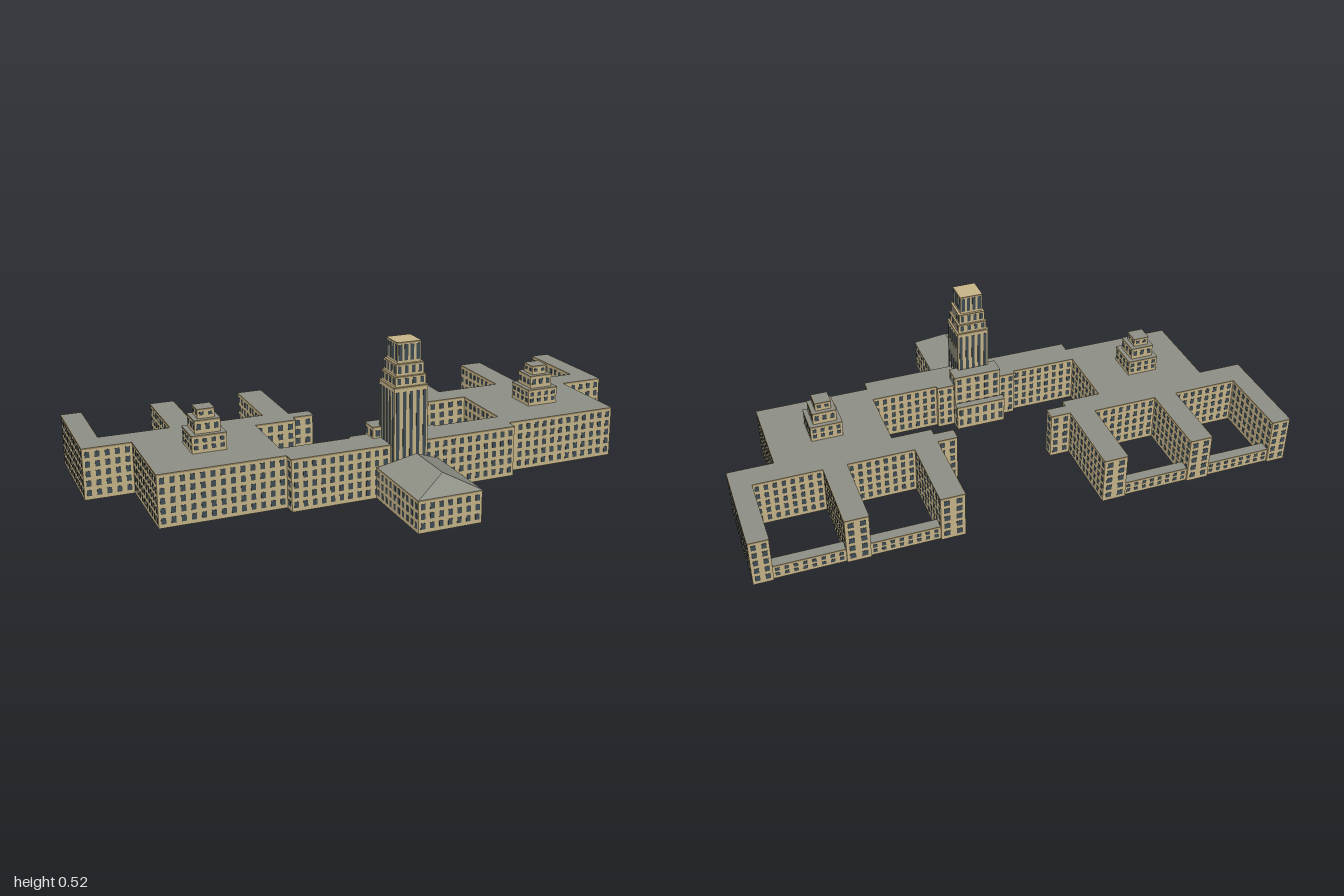
import * as THREE from 'three';
import { mergeGeometries } from 'three/addons/utils/BufferGeometryUtils.js';

const mat = (color) => new THREE.MeshStandardMaterial({ color, side: THREE.DoubleSide });

export function createModel() {
  const stone = mat(0xc9b68a), glass = mat(0x3f4d55), slate = mat(0x8f9086), trim = mat(0x9a8a66);
  const model = new THREE.Group();
  model.name = 'buildingComplex';
  const site = new THREE.Group();
  site.name = 'site';
  // the long axis is turned away from the z axis
  site.rotation.y = THREE.MathUtils.degToRad(-20.75);
  site.position.set(-0.0205, 0, 0.054);
  model.add(site);

  const rect = (x0, x1, z0, z1) => [[x1, z0], [x1, z1], [x0, z1], [x0, z0]];
  const square = (x, z, s) => rect(x - s / 2, x + s / 2, z - s / 2, z + s / 2);

  // Walls with a window grid around a closed outline, open below, with an optional flat roof
  function block(name, pts, y0, y1, { rows = 5, pitch = 0.031, fill = 0.62, wide = 0.48, roof = slate } = {}) {
    const group = new THREE.Group();
    group.name = name;
    const walls = [], panes = [], caps = [];
    const h = y1 - y0;
    pts.forEach(([ax, az], i) => {
      const [bx, bz] = pts[(i + 1) % pts.length];
      const len = Math.hypot(bx - ax, bz - az);
      const turn = Math.atan2(bz - az, ax - bx);
      const put = (g) => g.rotateY(turn).translate((ax + bx) / 2, 0, (az + bz) / 2);
      walls.push(put(new THREE.PlaneGeometry(len, h).translate(0, y0 + h / 2, 0)));
      caps.push(put(new THREE.BoxGeometry(len, 0.005, 0.003).translate(0, y1 - 0.0025, 0)));
      const cols = Math.floor(len / pitch + 0.15);
      const step = len / Math.max(cols, 1);
      const rise = (h - 0.014) / rows;
      for (let c = 0; c < cols; c++) {
        for (let r = 0; r < rows; r++) {
          const pane = new THREE.BoxGeometry(step * wide, rise * fill, 0.002);
          pane.translate((c + 0.5) * step - len / 2, y0 + 0.007 + (r + 0.5) * rise, 0);
          panes.push(put(pane));
        }
      }
    });
    const add = (part, geos, material) => {
      if (!geos.length) return;
      const mesh = new THREE.Mesh(mergeGeometries(geos), material);
      mesh.name = part;
      group.add(mesh);
    };
    add('walls', walls, stone);
    add('windows', panes, glass);
    add('parapet', caps, trim);
    if (roof) {
      const shape = new THREE.Shape(pts.map(([x, z]) => new THREE.Vector2(x, -z)));
      add('flatRoof', [new THREE.ShapeGeometry(shape).rotateX(-Math.PI / 2).translate(0, y1, 0)], roof);
    }
    site.add(group);
  }

  // Main outline: half of the plan, mirrored about the central axis
  const half = [
    [0.402, 0.405], [0.36, 0.405], [0.36, 0.828], [0.036, 0.828], [0.036, 0.994],
    [-0.345, 0.994], [-0.345, 0.924], [-0.055, 0.924], [-0.055, 0.676],
    [-0.345, 0.676], [-0.345, 0.592], [-0.055, 0.592], [-0.055, 0.345],
    [-0.345, 0.345], [-0.345, 0.257], [-0.038, 0.257], [-0.038, 0.182],
    [0.007, 0.182], [0.007, 0.257], [0.036, 0.257], [0.036, 0.405],
    [0.29, 0.405], [0.29, 0.155], [0.275, 0.155],
  ];
  const mirrored = half.map(([x, z]) => [x, -z]).reverse();
  block('mainBuilding', [...half, ...mirrored], 0, 0.18);

  for (const s of [-1, 1]) {
    // Low links closing the courtyards
    for (const [a, b] of [[0.345, 0.592], [0.676, 0.924]]) {
      block('courtyardLink', rect(-0.338, -0.3, Math.min(s * a, s * b), Math.max(s * a, s * b)), 0, 0.055, { rows: 2 });
    }
    // Stepped roof turrets
    [[0.116, 0.18, 0.24], [0.086, 0.24, 0.286], [0.057, 0.286, 0.318]].forEach(([w, y0, y1], i) =>
      block('roofTurretTier' + (i + 1), square(0.171, s * 0.62, w), y0, y1,
        { rows: i === 0 ? 2 : 1, pitch: 0.024, wide: 0.5 }));
  }

  // Central tower in narrowing tiers with tall window strips
  [[0.12, 0, 0.38], [0.109, 0.38, 0.415], [0.098, 0.415, 0.455], [0.084, 0.455, 0.525]].forEach(([w, y0, y1], i) =>
    block('towerTier' + (i + 1), square(0.369, 0, w), y0, y1,
      { rows: 1, pitch: i === 3 ? 0.021 : 0.024, fill: 0.95, wide: i === 3 ? 0.6 : 0.48, roof: stone }));

  // Rear pavilion and its low porch
  block('rearPavilion', rect(0.262, 0.325, -0.09, 0.09), 0, 0.22, { rows: 6 });
  block('rearPorch', rect(0.235, 0.262, -0.09, 0.1), 0, 0.1, { rows: 2 });

  // Front hall with a hipped roof
  block('frontHall', rect(0.402, 0.717, -0.11, 0.11), 0, 0.11, { rows: 3, roof: null });
  const e = 0.11, t = 0.165;
  const A = [0.408, e, -0.112], B = [0.719, e, -0.112], C = [0.719, e, 0.112], D = [0.408, e, 0.112];
  const R = [0.472, t, 0], S = [0.658, t, 0];
  const faces = [D, C, S, D, S, R, B, A, R, B, R, S, C, B, S, A, D, R];
  const hip = new THREE.BufferGeometry();
  hip.setAttribute('position', new THREE.Float32BufferAttribute(faces.flat(), 3));
  hip.computeVertexNormals();
  const hipRoof = new THREE.Mesh(hip, slate);
  hipRoof.name = 'hippedRoof';
  site.add(hipRoof);

  return model;
}
